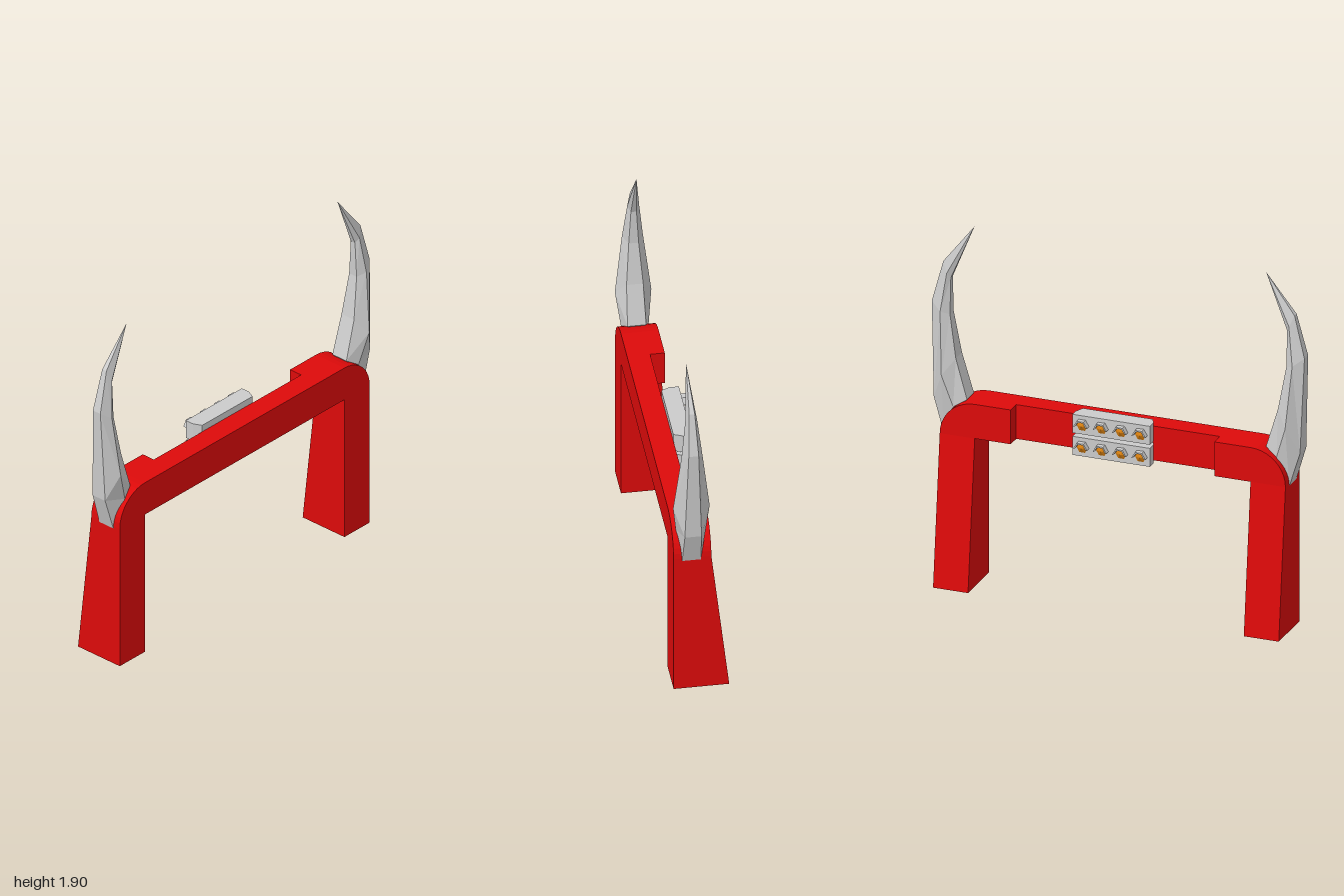
import * as THREE from 'three';

const red = new THREE.MeshStandardMaterial({ color: 0xdd0a0a, flatShading: true });
const grey = new THREE.MeshStandardMaterial({ color: 0xcccccc, flatShading: true });
const hoodGrey = new THREE.MeshStandardMaterial({ color: 0xcccccc, flatShading: true, side: THREE.DoubleSide });
const orange = new THREE.MeshStandardMaterial({ color: 0xd9800f, flatShading: true });

const FRONT = 0.14, BACK = -0.05, INNER = 0.738, OUTER = 0.925, UNDER = 0.8, TOP = 0.985;

function add(parent, name, geometry, material, x = 0, y = 0, z = 0) {
  const mesh = new THREE.Mesh(geometry, material);
  mesh.name = name;
  mesh.position.set(x, y, z);
  parent.add(mesh);
  return mesh;
}

function extrude(points, depth) {
  const shape = new THREE.Shape(points.map(([x, y]) => new THREE.Vector2(x, y)));
  return new THREE.ExtrudeGeometry(shape, { depth, bevelEnabled: false });
}

// Leg: side profile that widens backwards towards the ground
function legGeometry(side) {
  const g = extrude([[-FRONT, 0], [0.14, 0], [-BACK, UNDER], [-FRONT, UNDER]], OUTER - INNER);
  g.rotateY(Math.PI / 2);
  return g.translate(side > 0 ? INNER : -OUTER, 0, 0);
}

// Thick end of the crossbar with a rounded outer corner
function cornerGeometry(side) {
  const points = [[0.545, UNDER], [INNER, UNDER]];
  const r = OUTER - INNER, steps = 10;
  for (let i = 0; i <= steps; i++) {
    const a = (i / steps) * Math.PI / 2;
    points.push([INNER + r * Math.cos(a), UNDER + (TOP - UNDER) * Math.sin(a)]);
  }
  points.push([0.545, TOP]);
  return extrude(points.map(([x, y]) => [x * side, y]), FRONT - BACK).translate(0, 0, BACK);
}

// Horn: six-sided tilted rings that close in a point
function hornGeometry(side) {
  // outer x, y; middle x, y; inner x, y; half width of outer/inner edge and of the middle
  const rings = [
    [0.925, 0.785, 0.865, 0.94, 0.80, 0.98, 0.047, 0.07],
    [0.98, 0.968, 0.92, 1.11, 0.862, 1.19, 0.042, 0.092],
    [0.997, 1.476, 0.942, 1.435, 0.90, 1.417, 0.025, 0.053],
    [0.94, 1.695, 0.916, 1.638, 0.90, 1.61, 0.014, 0.03],
  ];
  const zc = 0.05, pos = [], index = [];
  for (const [ox, oy, mx, my, ix, iy, w, m] of rings) {
    for (const [x, y, z] of [[ox, oy, w], [ox, oy, -w], [mx, my, -m], [ix, iy, -w], [ix, iy, w], [mx, my, m]]) {
      pos.push(side * x, y, zc + z);
    }
  }
  const tip = pos.length / 3;
  pos.push(side * 0.78, 1.9, zc + 0.005);
  const base = tip + 1;
  pos.push(side * 0.865, 0.9, zc);
  const tri = (a, b, c) => side > 0 ? index.push(a, b, c) : index.push(a, c, b);
  for (let i = 0; i < 6; i++) {
    const j = (i + 1) % 6;
    for (let r = 0; r < rings.length - 1; r++) {
      const a = r * 6 + i, b = r * 6 + j;
      tri(a, b, b + 6);
      tri(a, b + 6, a + 6);
    }
    const last = (rings.length - 1) * 6;
    tri(last + i, last + j, tip);
    tri(j, i, base);
  }
  let g = new THREE.BufferGeometry();
  g.setAttribute('position', new THREE.Float32BufferAttribute(pos, 3));
  g.setIndex(index);
  g = g.toNonIndexed();
  g.computeVertexNormals();
  return g;
}

// Half of a hexagonal tube, open below, pointing backwards
function hoodGeometry() {
  const ring = (r) => [0, 1, 2, 3].map((i) => [r * Math.cos(i * Math.PI / 3), r * Math.sin(i * Math.PI / 3)]);
  return extrude([...ring(0.037), ...ring(0.029).reverse()], 0.03);
}

// Light bar: chamfered housing with a row of four hooded lamps
function lightBar(y) {
  const bar = new THREE.Group();
  bar.name = 'lightBar';
  const outline = [[-0.207, 0.067], [0.207, 0.067], [0.207, 0.02], [0.187, -0.024], [-0.187, -0.024], [-0.207, 0.02]];
  const housing = extrude(outline, 0.1);
  housing.rotateX(-Math.PI / 2);
  add(bar, 'lightHousing', housing, grey, 0, -0.05, 0);
  for (let i = 0; i < 4; i++) {
    const x = (i - 1.5) * 0.104;
    add(bar, 'lampHood', hoodGeometry(), hoodGrey, x, -0.003, -0.096);
    const bulb = new THREE.ConeGeometry(0.032, 0.018, 6);
    bulb.rotateY(Math.PI / 6);
    bulb.rotateX(-Math.PI / 2);
    add(bar, 'lampBulb', bulb, orange, x, -0.003, -0.075);
  }
  bar.position.y = y;
  return bar;
}

export function createModel() {
  const model = new THREE.Group();
  model.name = 'hornedFrame';

  // Thin middle of the crossbar
  add(model, 'crossbar', new THREE.BoxGeometry(1.09, TOP - UNDER, 0.116), red, 0, (TOP + UNDER) / 2, 0.082);

  for (const [side, label] of [[1, 'left'], [-1, 'right']]) {
    add(model, label + 'Leg', legGeometry(side), red);
    add(model, label + 'Corner', cornerGeometry(side), red);
    add(model, label + 'Horn', hornGeometry(side), grey);
  }

  // Two stacked light bars on the back
  model.add(lightBar(0.972), lightBar(0.853));
  return model;
}
